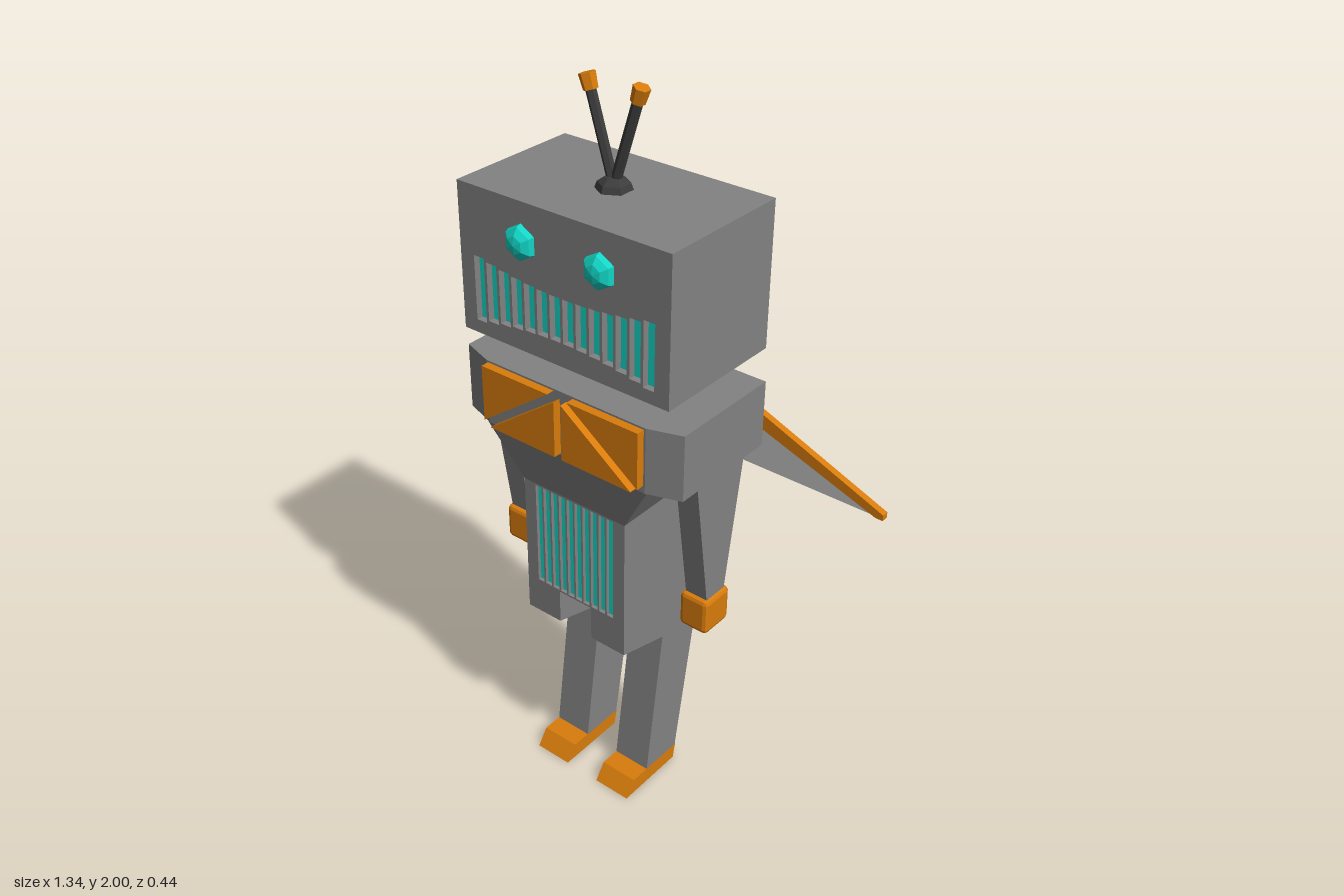
import * as THREE from 'three';
import { RoundedBoxGeometry } from 'three/addons/geometries/RoundedBoxGeometry.js';

function mat(name, color, extra = {}) {
  const m = new THREE.MeshStandardMaterial({ color, flatShading: true, ...extra });
  m.name = name;
  return m;
}

// Closed outline from [x, y] pairs
const outline = (pts) => new THREE.Shape(pts.map(([x, y]) => new THREE.Vector2(x, y)));
const rect = (x0, y0, x1, y1) => [[x0, y0], [x1, y0], [x1, y1], [x0, y1]];

// Flat plate facing +z, from z0 to z1, with optional holes
function plate(pts, z0, z1, holes = []) {
  const shape = outline(pts);
  shape.holes = holes.map(outline);
  return new THREE.ExtrudeGeometry(shape, { depth: z1 - z0, bevelEnabled: false }).translate(0, 0, z0);
}

// Side profile of [z, y] pairs, extruded from x0 to x1
function profile(pts, x0, x1) {
  return new THREE.ExtrudeGeometry(outline(pts), { depth: x1 - x0, bevelEnabled: false })
    .rotateY(-Math.PI / 2).translate(x1, 0, 0);
}

function box(x0, x1, y0, y1, z0, z1) {
  return new THREE.BoxGeometry(x1 - x0, y1 - y0, z1 - z0)
    .translate((x0 + x1) / 2, (y0 + y1) / 2, (z0 + z1) / 2);
}

export function createModel() {
  const grey = mat('body grey', 0x828282);
  const orange = mat('orange', 0xd97c0c);
  const teal = mat('teal', 0x12d6c6);
  const dark = mat('antenna dark', 0x3c3c3c);
  const pale = mat('wing pale grey', 0xc4c4c4, { side: THREE.DoubleSide });

  const model = new THREE.Group();
  model.name = 'robot';
  const add = (name, geometry, material, parent = model) => {
    const mesh = new THREE.Mesh(geometry, material);
    mesh.name = name;
    parent.add(mesh);
    return mesh;
  };

  // Head with a slotted mouth over a glowing plate
  const mouthSlots = [];
  for (let i = 0; i < 14; i++) {
    const x = (i - 6.5) * 0.0395;
    const flare = 0.028 * (x / 0.257) ** 2;
    mouthSlots.push(rect(x - 0.016, 1.418 - flare, x + 0.016, 1.533 + flare));
  }
  add('head', box(-0.315, 0.315, 1.355, 1.74, -0.19, 0.17), grey);
  add('mouthGrille', plate(rect(-0.315, 1.355, 0.315, 1.74), 0.17, 0.19, mouthSlots), grey);
  add('mouthGlow', box(-0.285, 0.285, 1.38, 1.57, 0.168, 0.172), teal);
  add('neck', box(-0.13, 0.13, 1.285, 1.355, -0.035, 0.035), grey);

  // Shoulder block with chamfered front corners
  const shoulderPlan = [[-0.34, 0.16], [0.34, 0.16], [0.34, -0.16], [0.25, -0.19], [-0.25, -0.19], [-0.34, -0.16]];
  add('shoulders', plate(shoulderPlan.reverse(), 0, 0.18).rotateX(-Math.PI / 2).translate(0, 1.105, 0), grey);

  // Waist tapering from the shoulders to the belly
  const waist = box(-0.165, 0.165, 0.955, 1.105, -0.16, 0.16);
  const p = waist.attributes.position;
  for (let i = 0; i < p.count; i++) {
    if (p.getY(i) < 1.1) continue;
    p.setX(i, Math.sign(p.getX(i)) * 0.255);
    if (p.getZ(i) > 0) p.setZ(i, 0.19);
  }
  add('waist', waist, grey);

  // Belly with slotted grilles front and back
  const bellySlots = [];
  for (let i = 0; i < 10; i++) {
    const x = (i - 4.5) * 0.0262;
    bellySlots.push(rect(x - 0.0103, 0.645, x + 0.0103, 0.95));
  }
  add('belly', box(-0.165, 0.165, 0.64, 0.955, -0.148, 0.148), grey);
  for (const side of [0, Math.PI]) {
    const grille = plate(rect(-0.165, 0.64, 0.165, 0.955), 0.148, 0.16, bellySlots);
    add(side ? 'backGrille' : 'frontGrille', grille.rotateY(side), grey);
    add(side ? 'backGlow' : 'frontGlow', box(-0.135, 0.135, 0.643, 0.952, 0.146, 0.15).rotateY(side), teal);
  }

  // Antenna socket
  const dome = new THREE.SphereGeometry(0.046, 6, 6).rotateY(Math.PI / 6).scale(1, 0.7, 1);
  add('antennaSocket', dome.translate(0, 1.74, 0), dark);

  for (const s of [1, -1]) {
    const side = s > 0 ? 'left' : 'right';
    const span = (a, b) => (s > 0 ? [a, b] : [-b, -a]);
    const flip = (pts) => pts.map(([x, y]) => [s * x, y]);

    // Faceted eye
    const eye = new THREE.SphereGeometry(0.047, 6, 6).rotateX(Math.PI / 2).rotateZ(Math.PI / 6);
    add(side + 'Eye', eye.scale(1, 1, 0.7).translate(s * 0.117, 1.64, 0.187), teal);

    // Antenna rod and tip
    const antenna = new THREE.Group();
    antenna.name = side + 'Antenna';
    antenna.position.set(0, 1.745, 0);
    antenna.rotation.z = -s * 0.305;
    add('rod', new THREE.CylinderGeometry(0.013, 0.013, 0.23, 6).translate(0, 0.115, 0), dark, antenna);
    add('tip', new THREE.CylinderGeometry(0.021, 0.018, 0.038, 6).translate(0, 0.242, 0), orange, antenna);
    model.add(antenna);

    // Chest panels split by a diagonal gap
    add(side + 'UpperChestPanel', plate(flip([[0.03, 1.28], [0.245, 1.28], [0.245, 1.125]]), 0.185, 0.213), orange);
    add(side + 'LowerChestPanel', plate(flip([[0.011, 1.11], [0.011, 1.265], [0.225, 1.11]]), 0.185, 0.213), orange);

    // Tapered arm and chamfered hand
    const arm = [[-0.035, 0.72], [0.035, 0.72], [0.095, 1.11], [-0.095, 1.11]];
    add(side + 'Arm', profile(arm, ...span(0.268, 0.333)), grey);
    add(side + 'Hand', new RoundedBoxGeometry(0.086, 0.104, 0.1, 1, 0.012).translate(s * 0.3, 0.68, 0), orange);

    // Leg with a bent knee, and wedge foot
    const leg = [[-0.075, 0.045], [0.055, 0.045], [-0.005, 0.495], [0.16, 0.54], [0.16, 0.64], [-0.16, 0.64], [-0.16, 0.54]];
    add(side + 'Leg', profile(leg, ...span(0.054, 0.165)), grey);
    const foot = [[-0.068, 0], [0.145, 0], [0.112, 0.046], [-0.077, 0.046]];
    add(side + 'Foot', profile(foot, ...span(0.054, 0.165)), orange);

    // Wing: bracket, leading spar and thin membrane
    add(side + 'WingBracket', box(...span(0.1, 0.16), 1.17, 1.22, -0.205, -0.15), orange);
    const spar = [[0.1, 1.17], [0.16, 1.17], [0.65, 1], [0.67, 1], [0.67, 1.016], [0.16, 1.22], [0.1, 1.22]];
    add(side + 'WingSpar', plate(flip(spar), -0.222, -0.203), orange);
    const membrane = [[0.1, 1], [0.65, 1], [0.16, 1.172], [0.1, 1.172]];
    add(side + 'WingMembrane', plate(flip(membrane), -0.215, -0.21), pale);
  }
  return model;
}
